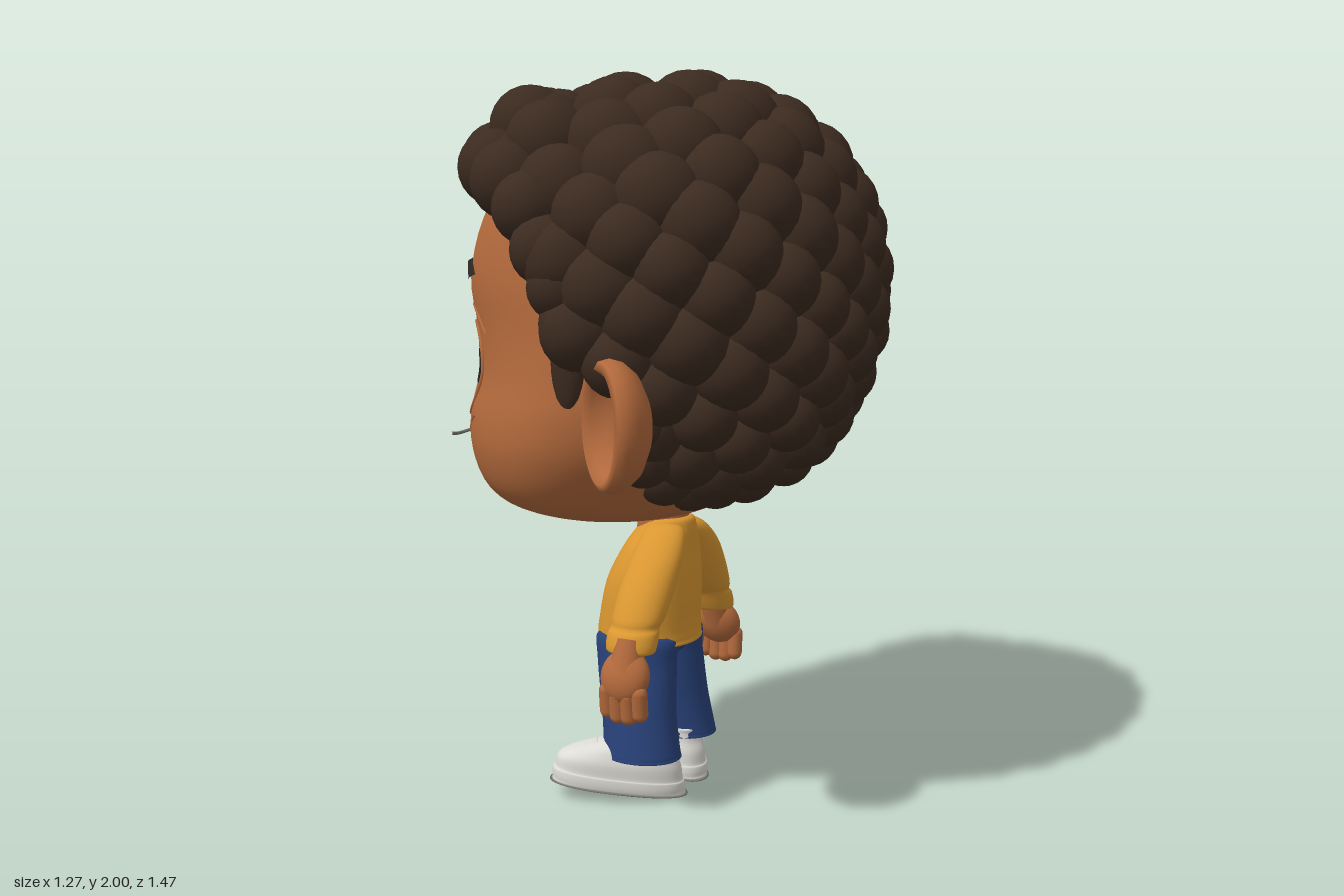
import * as THREE from 'three';
import { mergeGeometries } from 'three/addons/utils/BufferGeometryUtils.js';

const mat = (name, color) => Object.assign(new THREE.MeshStandardMaterial({ color }), { name });

// Closed skin over horizontal rings; each row is [y, centreX, centreZ, radiusX, radiusZ]
function loft(rows, { power = 2, sides = 40, steps = 4 } = {}) {
  const spline = new THREE.CubicInterpolant(rows.map((_, i) => i), rows.flat(), 5);
  const count = (rows.length - 1) * steps, pos = [], index = [];
  const bend = v => Math.sign(v) * Math.abs(v) ** (2 / power);
  for (let i = 0; i <= count; i++) {
    const [y, cx, cz, rx, rz] = spline.evaluate(i / steps);
    for (let j = 0; j < sides; j++) {
      const a = j / sides * Math.PI * 2;
      pos.push(cx + rx * bend(Math.cos(a)), y, cz + rz * bend(Math.sin(a)));
      if (i === count) continue;
      const p = i * sides + j, q = i * sides + (j + 1) % sides;
      index.push(p, p + sides, q, q, p + sides, q + sides);
    }
  }
  const g = new THREE.BufferGeometry();
  g.setAttribute('position', new THREE.Float32BufferAttribute(pos, 3));
  g.setIndex(index);
  g.computeVertexNormals();
  return g;
}

// Head rings: y, front x, back x, half width
const headRows = [
  [0.80, 0, 0, 0], [0.805, -0.18, 0.12, 0.24], [0.84, -0.35, 0.2, 0.41], [0.90, -0.435, 0.26, 0.51],
  [1.0, -0.48, 0.36, 0.565], [1.1, -0.485, 0.43, 0.578], [1.2, -0.465, 0.47, 0.568], [1.32, -0.475, 0.49, 0.555],
  [1.45, -0.5, 0.5, 0.545], [1.6, -0.465, 0.46, 0.515], [1.72, -0.39, 0.38, 0.44], [1.81, -0.24, 0.26, 0.3],
  [1.85, 0, 0, 0],
].map(([y, f, b, w]) => [y, (f + b) / 2, 0, (b - f) / 2, w]);
const headPower = 1.93;

// Point on the face at a height and sideways position
function onFace(y, z) {
  const i = headRows.findIndex(r => r[0] >= y), a = headRows[i - 1], b = headRows[i];
  const t = (y - a[0]) / (b[0] - a[0]), mix = k => a[k] + (b[k] - a[k]) * t;
  return new THREE.Vector3(mix(1) - mix(3) * (1 - Math.abs(z / mix(4)) ** headPower) ** (1 / headPower), y, z);
}
const faceLine = (pts, radius, closed = false) => new THREE.TubeGeometry(
  new THREE.CatmullRomCurve3(pts.map(([y, z]) => onFace(y, z)), closed), 32, radius, 6, closed);

// Foremost x of the hair at a height
function hairline(y) {
  const pts = [[0.84, 0.11], [0.95, 0.13], [1.1, 0.16], [1.24, 0.15], [1.32, 0.06], [1.5, 0.0], [1.62, -0.1], [1.73, -0.2]];
  if (y >= 1.73) return -1;
  for (let i = 1; i < pts.length; i++) {
    const [y0, x0] = pts[i - 1], [y1, x1] = pts[i];
    if (y <= y1) return x0 + (x1 - x0) * Math.max(0, (y - y0) / (y1 - y0));
  }
}

// Curls edging the face and the nape: x, y, z, radius
const fringe = [
  [-0.37, 1.775, 0.085, 0.108], [-0.35, 1.76, 0.24, 0.103], [-0.28, 1.735, 0.375, 0.1], [-0.18, 1.7, 0.475, 0.1],
  [-0.09, 1.63, 0.535, 0.092], [-0.03, 1.53, 0.56, 0.088], [0.015, 1.44, 0.57, 0.082], [0.04, 1.355, 0.57, 0.075],
  [-0.29, 1.85, 0.11, 0.11], [-0.23, 1.84, 0.28, 0.11], [-0.11, 1.79, 0.4, 0.11],
  [0.21, 0.915, 0.075, 0.085], [0.2, 0.93, 0.21, 0.083], [0.18, 0.96, 0.33, 0.08], [0.17, 1.02, 0.43, 0.08], [0.18, 1.11, 0.49, 0.08],
];

// Rounded curls spread evenly over a swollen ellipsoid, with the fringe on both sides
function curls() {
  const parts = [], n = 195, p = 2.2;
  const curl = (x, y, z, r) => parts.push(new THREE.SphereGeometry(r, 18, 12).translate(x, y, z));
  for (let i = 0; i < n; i++) {
    const u = ((i + 0.5) / n) ** 0.92, dy = 1 - 2 * u, s = Math.sqrt(1 - dy * dy), a = i * 2.39996;
    const d = [Math.cos(a) * s, dy, Math.sin(a) * s];
    const k = d.reduce((sum, v) => sum + Math.abs(v) ** p, 0) ** (-1 / p);
    const r = 0.102 + 0.016 * dy + 0.006 * Math.sin(i * 7.3);
    let x = 0.07 + d[0] * k * (0.56 - r);
    const y = 1.42 + dy * k * ((dy < 0 ? 0.6 : 0.58) - r), z = d[2] * k * (0.665 - r);
    if (x < 0.07 && y > 1.42) x -= 0.27 * (y - 1.42) * Math.min(1, (0.07 - x) / 0.15);
    x += 0.2 * Math.max(0, 1.15 - y);
    if (x > hairline(y)) curl(x, y, z, r);
  }
  for (const [x, y, z, r] of fringe) {
    curl(x, y, z, r);
    curl(x, y, -z, r);
  }
  return mergeGeometries(parts);
}

export function createModel() {
  const skin = mat('skin', 0xb2693c), hairMat = mat('hair', 0x3c2b20), sweater = mat('sweater', 0xda9731);
  const denim = mat('denim', 0x29427a), white = mat('shoe white', 0xdddbd5), dark = mat('dark', 0x2d2520);
  const grey = mat('sole grey', 0x7a7a72);
  const model = new THREE.Group();
  model.name = 'child';
  const add = (name, geo, m, parent = model) => {
    const mesh = new THREE.Mesh(geo, m);
    mesh.name = name;
    parent.add(mesh);
    return mesh;
  };

  // Head and hair
  const headGeo = loft(headRows, { sides: 64, power: headPower });
  add('head', headGeo, skin);
  const scalp = headGeo.clone(), sp = scalp.attributes.position;
  for (let i = 0; i < sp.count; i++) {
    const x = sp.getX(i), y = sp.getY(i);
    const k = y > 0.94 && x > hairline(y) + 0.06 ? 1.03 : 0.9;
    sp.setXYZ(i, 0.05 + (x - 0.05) * k, 1.4 + (y - 1.4) * k, sp.getZ(i) * k);
  }
  scalp.computeVertexNormals();
  add('scalp', scalp, hairMat);
  add('curls', curls(), hairMat);

  // Nose, mouth and the loose strand before the face
  add('nose', new THREE.SphereGeometry(0.048, 24, 16).scale(1, 1, 1.25).translate(-0.478, 1.075, 0), skin);
  const mouth = Array.from({ length: 12 }, (_, i) => [0.985 + 0.024 * Math.sin(i * Math.PI / 6), 0.06 * Math.cos(i * Math.PI / 6)]);
  add('mouth', faceLine(mouth, 0.008, true), skin);
  const strand = new THREE.CatmullRomCurve3([[-0.622, 0.99, -0.08], [-0.632, 0.982, -0.02], [-0.63, 0.98, 0.04], [-0.612, 0.988, 0.11]]
    .map(v => new THREE.Vector3(...v)));
  add('strand', new THREE.TubeGeometry(strand, 20, 0.005, 6), grey);

  // Neck and sweater body
  add('neck', new THREE.CylinderGeometry(0.07, 0.075, 0.1, 24).translate(0.02, 0.79, 0), skin);
  add('sweaterBody', loft([
    [0.43, -0.02, 0, 0, 0], [0.43, -0.02, 0, 0.13, 0.15], [0.445, -0.022, 0, 0.142, 0.162], [0.48, -0.022, 0, 0.14, 0.163],
    [0.6, -0.008, 0, 0.128, 0.16], [0.7, 0.015, 0, 0.1, 0.135], [0.755, 0.033, 0, 0.08, 0.09],
    [0.785, 0.04, 0, 0.06, 0.065], [0.78, 0.04, 0, 0, 0],
  ]), sweater);

  for (const s of [1, -1]) {
    const side = s > 0 ? 'left' : 'right';
    const part = (name, geo, m, parent) => add(side + name, geo, m, parent);

    // Ear: a dished disc with a rolled rim and a swollen back, angled towards the face
    const bowl = [[0, -0.085], [0.5, -0.075], [0.8, -0.05], [0.96, -0.018], [1, 0.01], [0.95, 0.032], [0.85, 0.038], [0.74, 0.02], [0.6, -0.012], [0.3, -0.022], [0, -0.022]];
    const turn = s > 0 ? -0.74 : Math.PI + 0.74;
    const ear = part('Ear', new THREE.LatheGeometry(bowl.map(v => new THREE.Vector2(...v)), 40)
      .scale(0.135, 1, 0.162).rotateX(Math.PI / 2).rotateY(turn), skin);
    ear.position.set(0.185, 1.12, s * 0.623);

    // Sideburn
    part('Sideburn', new THREE.SphereGeometry(1, 18, 12).scale(0.047, 0.14, 0.035).translate(0.03, 1.27, s * 0.555), hairMat);

    // Eye creases, slits and brow
    const eye = Array.from({ length: 16 }, (_, i) => [1.21 + 0.125 * Math.sin(i * Math.PI / 8), s * (0.315 + 0.11 * Math.cos(i * Math.PI / 8))]);
    part('EyeCrease', faceLine(eye, 0.005, true), skin);
    part('EyelidCrease', faceLine([[1.33, s * 0.2], [1.375, s * 0.28], [1.37, s * 0.36], [1.31, s * 0.44]], 0.005), skin);
    for (const z of [0.235, 0.4]) part('EyeSlit', faceLine([[1.18, s * z], [1.22, s * (z + 0.005)], [1.27, s * z]], 0.005), dark);
    part('CheekCrease', faceLine([[1.1, s * 0.44], [1.05, s * 0.35], [1.06, s * 0.24]], 0.006), skin);
    part('Brow', faceLine([[1.47, s * 0.19], [1.485, s * 0.24], [1.48, s * 0.31], [1.445, s * 0.385]], 0.017), dark);

    // Sleeve with a gathered cuff
    part('Sleeve', loft([
      [0.46, 0.05, 0.265, 0, 0], [0.46, 0.05, 0.265, 0.06, 0.045], [0.475, 0.05, 0.262, 0.071, 0.056],
      [0.51, 0.05, 0.248, 0.071, 0.06], [0.525, 0.05, 0.235, 0.067, 0.058], [0.55, 0.052, 0.218, 0.073, 0.068],
      [0.62, 0.055, 0.17, 0.076, 0.075], [0.7, 0.06, 0.115, 0.07, 0.065], [0.76, 0.055, 0.065, 0.052, 0.045], [0.78, 0.05, 0.05, 0, 0],
    ].map(([y, x, z, a, b]) => [y, x, s * z, a, b])), sweater);

    // Hand with four fingers and a thumb
    const hand = new THREE.Group();
    hand.name = side + 'Hand';
    hand.position.set(0.055, 0.405, s * 0.308);
    hand.rotation.x = -s * 0.35;
    hand.scale.setScalar(1.12);
    model.add(hand);
    part('Palm', new THREE.SphereGeometry(1, 24, 16).scale(0.062, 0.065, 0.04), skin, hand);
    part('Wrist', new THREE.CylinderGeometry(0.037, 0.042, 0.08, 16).translate(0, 0.045, 0), skin, hand);
    for (let i = 0; i < 4; i++) {
      part('Finger', new THREE.CapsuleGeometry(0.02, 0.05, 6, 12)
        .rotateX(s * 0.45).translate(-0.04 + i * 0.028, i % 3 ? -0.07 : -0.06, -s * 0.008), skin, hand);
    }
    part('Thumb', new THREE.CapsuleGeometry(0.02, 0.045, 6, 12).rotateZ(-0.2).rotateX(s * 0.4)
      .translate(-0.05, -0.035, -s * 0.045), skin, hand);

    // Trouser leg with a turned hem
    part('TrouserLeg', loft([
      [0.12, 0.01, 0.12, 0, 0], [0.12, 0.01, 0.12, 0.105, 0.085], [0.13, 0.01, 0.12, 0.113, 0.092], [0.155, 0.009, 0.119, 0.11, 0.09],
      [0.25, -0.004, 0.108, 0.108, 0.088], [0.38, -0.02, 0.088, 0.117, 0.084], [0.46, -0.022, 0.08, 0.112, 0.08], [0.47, -0.022, 0.08, 0, 0],
    ].map(([y, x, z, a, b]) => [y, x, s * z, a, b])), denim);

    // Shoe and sole, turned outward with a lifted toe
    const foot = new THREE.Group();
    foot.name = side + 'Foot';
    foot.position.set(0.015, 0, s * 0.1);
    foot.rotation.y = s * 0.46;
    model.add(foot);
    const shoePart = (name, rows, m) => {
      const geo = loft(rows, { power: 2.4 }), v = geo.attributes.position;
      for (let i = 0; i < v.count; i++) v.setY(i, v.getY(i) + 0.12 * (0.105 - v.getX(i)));
      geo.computeVertexNormals();
      part(name, geo, m, foot);
    };
    shoePart('Shoe', [
      [0.003, -0.078, 0, 0, 0], [0.003, -0.078, 0, 0.17, 0.068], [0.014, -0.078, 0, 0.185, 0.08], [0.04, -0.078, 0, 0.185, 0.08],
      [0.046, -0.077, 0, 0.179, 0.076], [0.08, -0.074, 0, 0.172, 0.075], [0.108, -0.055, 0, 0.142, 0.067],
      [0.132, -0.022, 0, 0.105, 0.059], [0.148, 0.0, 0, 0.078, 0.05], [0.148, 0.0, 0, 0, 0],
    ], white);
    shoePart('Sole', [[0, -0.078, 0, 0, 0], [0, -0.078, 0, 0.172, 0.07], [0.006, -0.078, 0, 0.173, 0.071], [0.006, -0.078, 0, 0, 0]], grey);
    for (let i = 0; i < 3; i++) {
      part('Lace', new THREE.CapsuleGeometry(0.008, 0.03, 4, 8).rotateX(Math.PI / 2)
        .translate(-0.115 - i * 0.025, 0.158 - i * 0.007, 0), white, foot);
    }
  }

  // Hips joining the legs
  add('hips', new THREE.SphereGeometry(1, 28, 18).scale(0.11, 0.06, 0.13).translate(-0.02, 0.43, 0), denim);
  return model;
}
